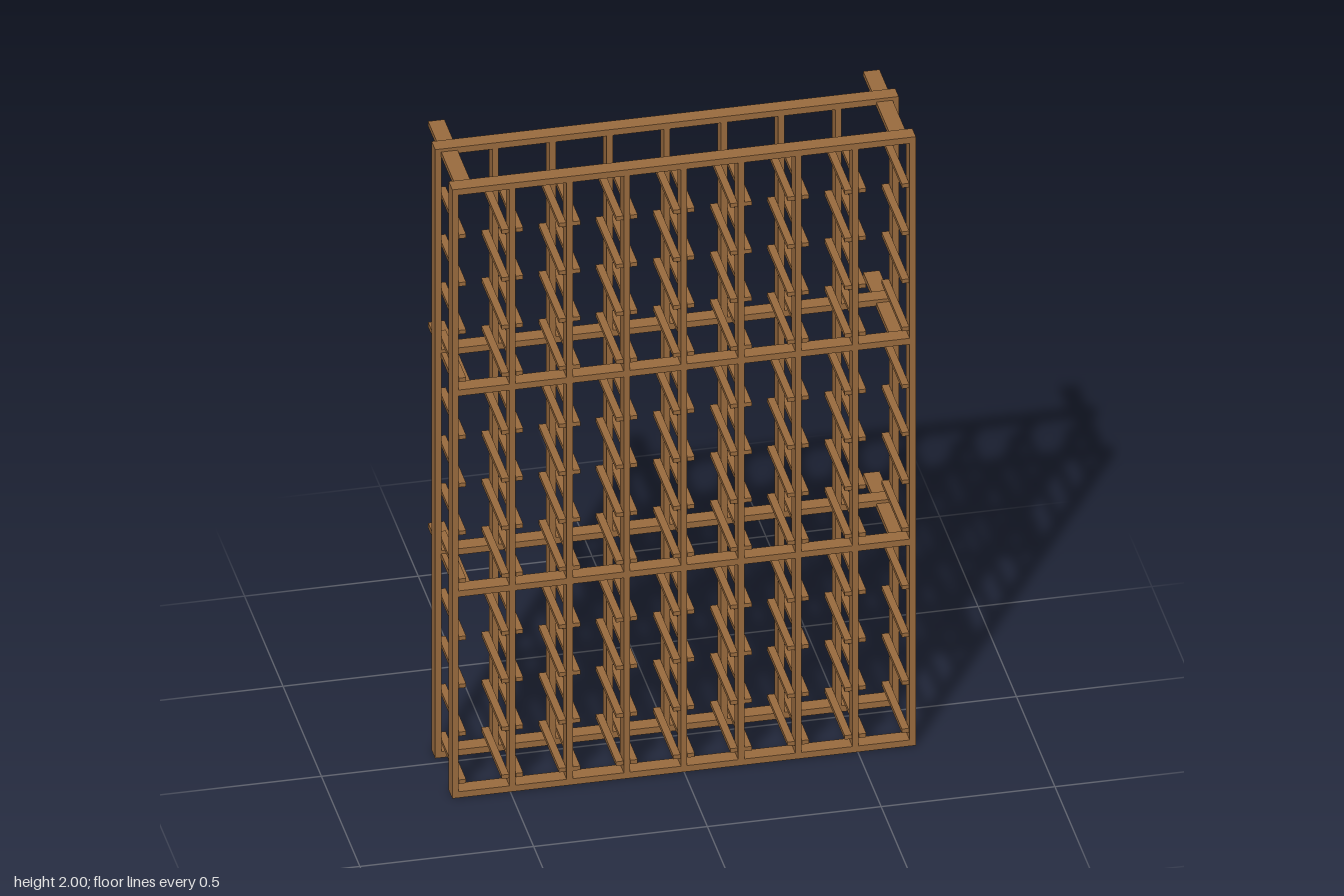
import * as THREE from 'three';

export function createModel() {
  const rack = new THREE.Group();
  rack.name = 'storageRack';
  const wood = new THREE.MeshStandardMaterial({ color: 0x9b6c3f });
  wood.name = 'wood';

  // Adds a box given its minimum and maximum on each axis
  function bar(name, parent, [x0, x1], [y0, y1], [z0, z1]) {
    const mesh = new THREE.Mesh(new THREE.BoxGeometry(x1 - x0, y1 - y0, z1 - z0), wood);
    mesh.name = name;
    mesh.position.set((x0 + x1) / 2, (y0 + y1) / 2, (z0 + z1) / 2);
    parent.add(mesh);
  }
  function section(name) {
    const group = new THREE.Group();
    group.name = name;
    rack.add(group);
    return group;
  }

  const halfWidth = 0.667, thick = 0.02, spacing = 0.1645;
  const layers = { front: [0.15, 0.197], back: [-0.072, -0.026] };
  const railBottoms = [0, 0.66, 1.32, 1.98];

  // Front and back lattices: horizontal rails with upright posts between them
  for (const [side, depth] of Object.entries(layers)) {
    const frame = section(side + 'Frame');
    for (const y of railBottoms) bar('rail', frame, [-halfWidth, halfWidth], [y, y + thick], depth);
    for (let bay = 0; bay < 3; bay++) {
      for (let i = -4; i <= 4; i++) {
        const x = i * spacing;
        bar('post', frame, [x - 0.009, x + 0.009], [railBottoms[bay] + thick, railBottoms[bay + 1]], depth);
      }
    }
  }

  // Pairs of support rods on either side of each post; only inner ones at the ends
  const rods = section('supportRods');
  for (let bay = 0; bay < 3; bay++) {
    for (let row = 0; row < 4; row++) {
      const y = 0.051 + bay * 0.66 + row * 0.157;
      for (let i = -4; i <= 4; i++) {
        for (const side of [-1, 1]) {
          if (i * side === 4) continue;
          const x = i * spacing + side * 0.0205;
          bar('supportRod', rods, [x - 0.0105, x + 0.0105], [y - 0.0065, y + 0.0065], [-0.07, 0.195]);
        }
      }
    }
  }

  // Flat arms that tie the frames together and reach back to the wall
  const arms = section('wallArms');
  for (const y of railBottoms.slice(1)) {
    for (const side of [-1, 1]) {
      const x = side * 0.626;
      bar('wallArm', arms, [x - 0.0235, x + 0.0235], [y - 0.006, y + 0.01], [-0.197, 0.17]);
    }
  }
  return rack;
}
